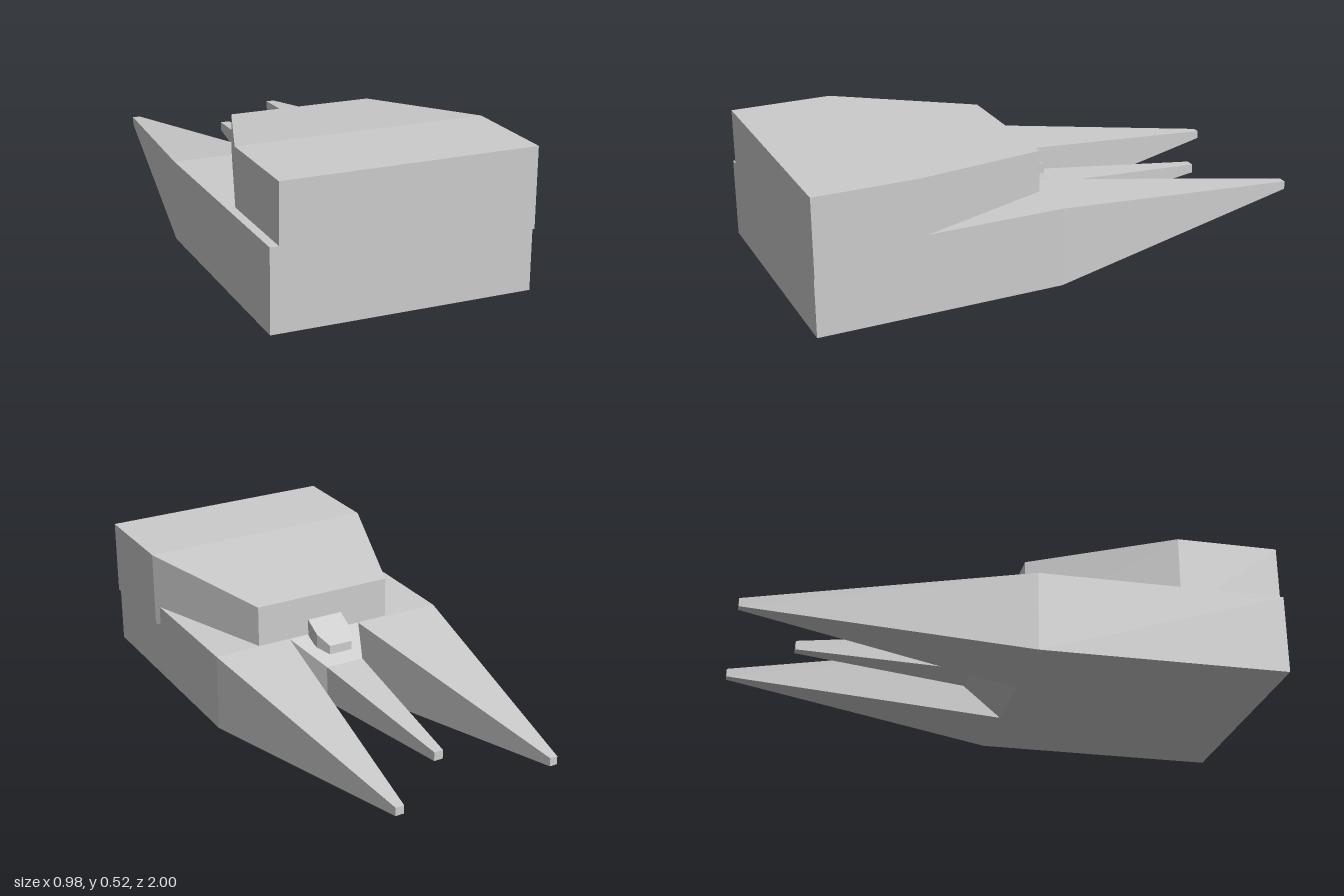
import * as THREE from 'three';

const material = new THREE.MeshStandardMaterial({ color: 0xcccccc, flatShading: true });

// Lofts rectangular sections [z, x0, x1, y0, y1], listed from front (+z) to back (-z).
function loft(name, sections) {
  const positions = [];
  const rings = sections.map(([z, x0, x1, y0, y1]) => [
    [x0, y0, z], [x1, y0, z], [x1, y1, z], [x0, y1, z],
  ]);
  const quad = (a, b, c, d) => positions.push(...a, ...b, ...c, ...a, ...c, ...d);
  quad(...rings[0]);
  for (let i = 0; i < rings.length - 1; i++) {
    const front = rings[i], back = rings[i + 1];
    for (let j = 0; j < 4; j++) {
      const k = (j + 1) % 4;
      quad(front[j], back[j], back[k], front[k]);
    }
  }
  quad(...[...rings[rings.length - 1]].reverse());
  const geometry = new THREE.BufferGeometry();
  geometry.setAttribute('position', new THREE.Float32BufferAttribute(positions, 3));
  geometry.computeVertexNormals();
  const mesh = new THREE.Mesh(geometry, material);
  mesh.name = name;
  return mesh;
}

export function createModel() {
  const group = new THREE.Group();
  group.name = 'spacecraft';

  // Main body and the tapering deck above it
  group.add(loft('lowerHull', [
    [1, -0.49, 0.48, 0, 0.305],
    [0.06, -0.49, 0.477, 0, 0.305],
  ]));
  group.add(loft('upperHull', [
    [1, -0.458, 0.488, 0.225, 0.523],
    [0.61, -0.458, 0.488, 0.225, 0.523],
    [0.065, -0.265, 0.295, 0.225, 0.465],
  ]));

  // Long outer prongs
  group.add(loft('rightProng', [
    [0.06, -0.49, -0.14, 0, 0.305],
    [-0.99, -0.33, -0.3, 0.14, 0.172],
  ]));
  group.add(loft('leftProng', [
    [0.06, 0.165, 0.477, 0, 0.305],
    [-1, 0.305, 0.338, 0.14, 0.172],
  ]));

  // Shorter middle prong with its flared root
  group.add(loft('middleProng', [
    [0.06, -0.14, 0.165, 0, 0.305],
    [-0.1, -0.065, 0.09, 0.09, 0.235],
    [-0.76, -0.005, 0.031, 0.14, 0.175],
  ]));

  // Small cockpit at the root of the middle prong
  group.add(loft('cockpit', [
    [0.058, -0.06, 0.085, 0.295, 0.37],
    [-0.01, -0.06, 0.085, 0.28, 0.335],
    [-0.07, -0.035, 0.06, 0.27, 0.305],
  ]));

  return group;
}
